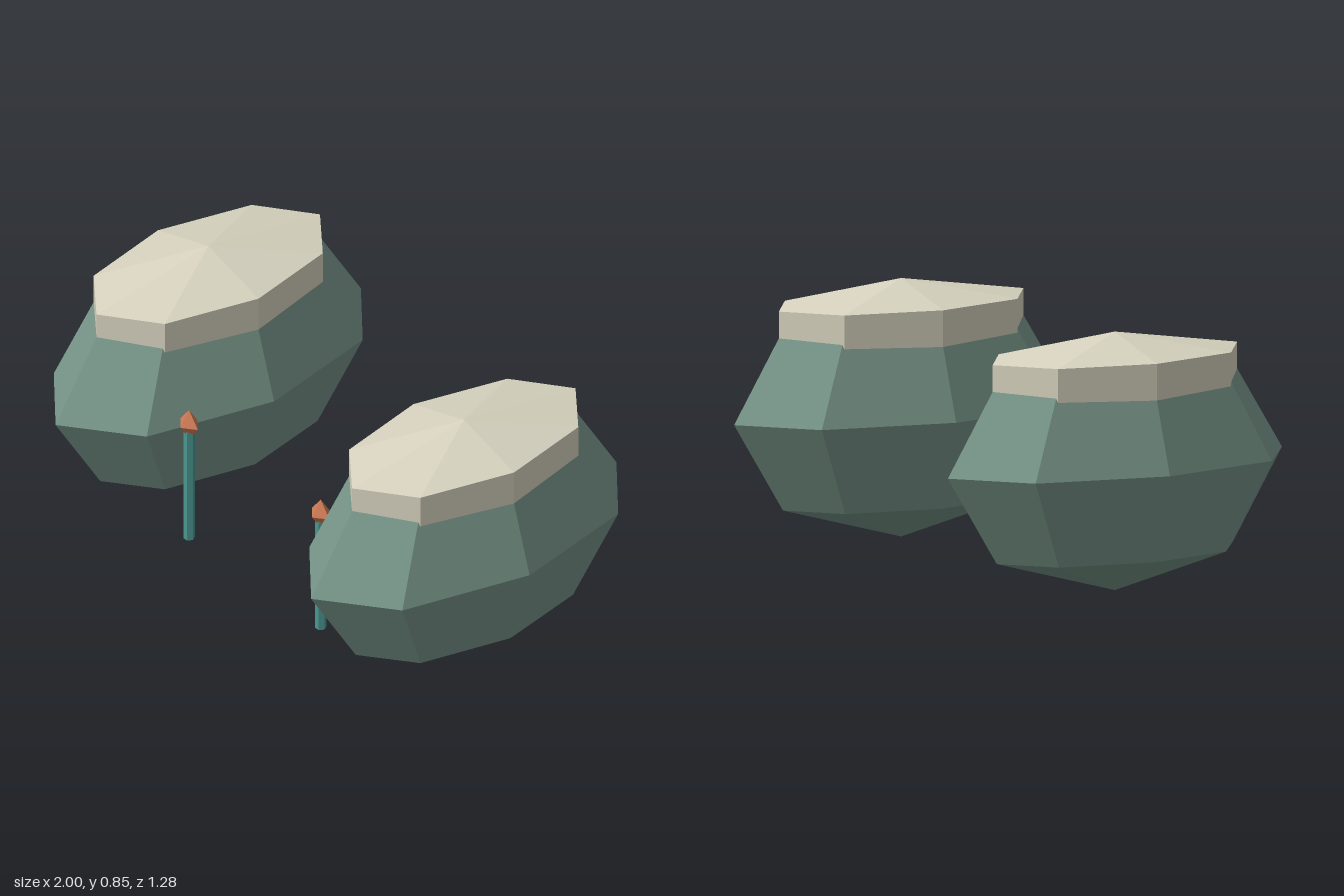
import * as THREE from 'three';

export function createModel() {
  const model = new THREE.Group();
  model.name = 'snowCappedRocksWithStakes';

  const material = (name, color) => {
    const m = new THREE.MeshStandardMaterial({ color, flatShading: true });
    m.name = name;
    return m;
  };
  const rockGreen = material('rockGreen', 0x78968a);
  const capCream = material('capCream', 0xd8d4c0);
  const stakeTeal = material('stakeTeal', 0x4b9690);
  const tipOrange = material('tipOrange', 0xcc7a54);

  // Unit shapes, stretched to size per part
  const rockShape = new THREE.SphereGeometry(1, 8, 4);
  const capShape = new THREE.SphereGeometry(1, 8, 3);
  const stakeShape = new THREE.CylinderGeometry(0.019, 0.019, 0.42, 6).rotateY(Math.PI / 6);
  const tipShape = new THREE.OctahedronGeometry(1);

  const add = (name, geometry, mat, position, scale = [1, 1, 1]) => {
    const mesh = new THREE.Mesh(geometry, mat);
    mesh.name = name;
    mesh.position.set(...position);
    mesh.scale.set(...scale);
    model.add(mesh);
  };

  for (const [side, s] of [['left', 1], ['right', -1]]) {
    // Faceted boulder and its pale cap
    add(side + 'Rock', rockShape, rockGreen, [s * 0.66, 0.425, 0], [0.34, 0.42, 0.64]);
    add(side + 'Cap', capShape, capCream, [s * 0.66, 0.713, 0], [0.3, 0.144, 0.541]);
    // Marker stake with a diamond tip
    add(side + 'Stake', stakeShape, stakeTeal, [s * 0.34, 0.235, 0.34]);
    add(side + 'StakeTip', tipShape, tipOrange, [s * 0.34, 0.468, 0.34], [0.045, 0.055, 0.036]);
  }
  return model;
}
